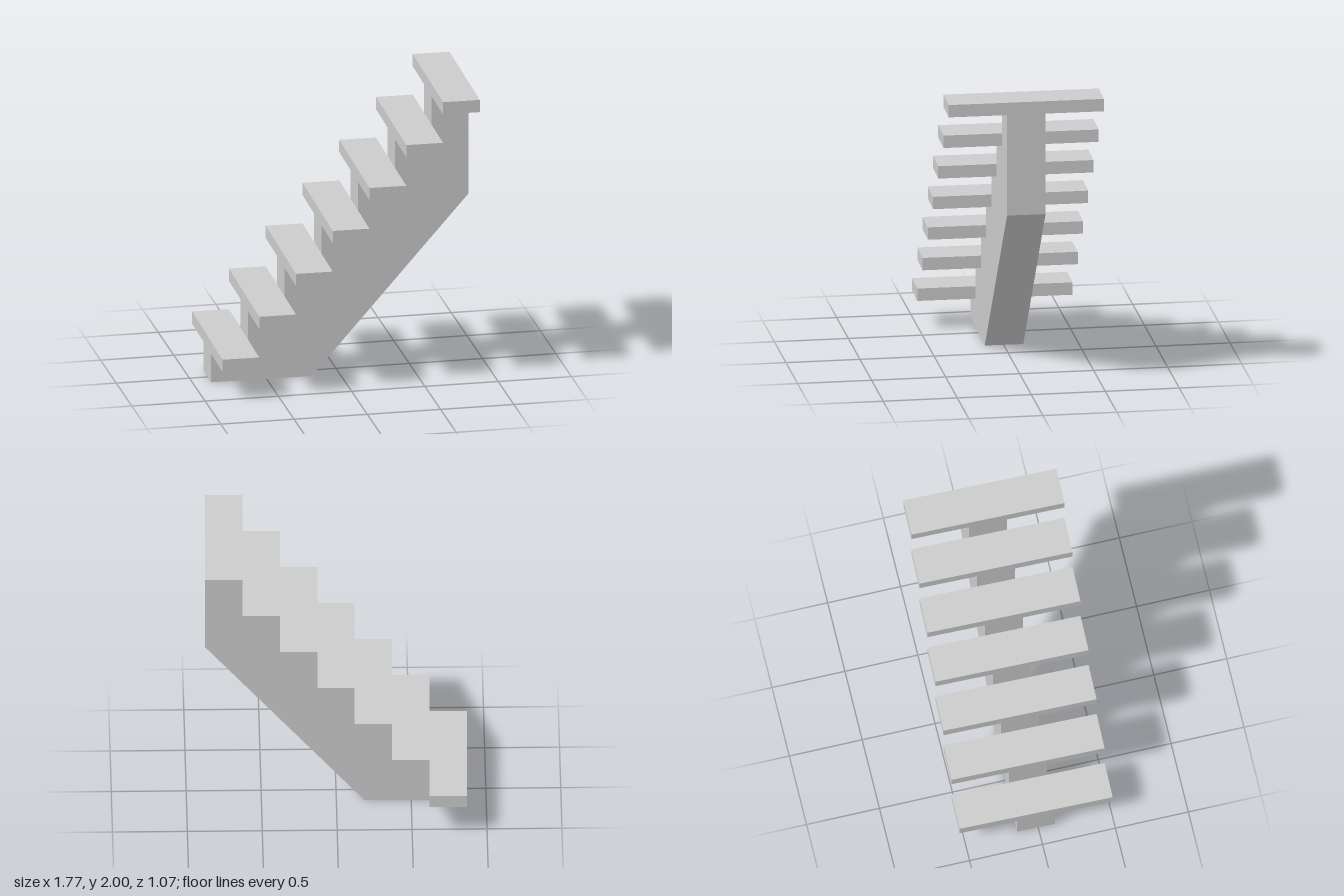
import * as THREE from 'three';

const STEPS = 7;
const RUN = 0.25;            // depth of one tread
const RISE = 2 / STEPS;      // height of one step
const THICK = 0.086;         // tread thickness
const TREAD_WIDTH = 1.046;
const BEAM_WIDTH = 0.26;
const X0 = -STEPS * RUN / 2; // foot of the stair

export function createModel() {
  const model = new THREE.Group();
  model.name = 'staircase';
  const material = new THREE.MeshStandardMaterial({ color: 0xcccccc, flatShading: true });

  // Central sawtooth beam carrying the treads
  const outline = new THREE.Shape();
  outline.moveTo(X0, 0);
  outline.lineTo(-0.19, 0);
  outline.lineTo(-X0, 1.215);
  for (let i = STEPS - 1; i >= 0; i--) {
    const y = (i + 1) * RISE - THICK;
    outline.lineTo(X0 + (i + 1) * RUN, y);
    outline.lineTo(X0 + i * RUN, y);
  }
  const beamGeometry = new THREE.ExtrudeGeometry(outline, { depth: BEAM_WIDTH, bevelEnabled: false });
  beamGeometry.translate(0, 0, -BEAM_WIDTH / 2);
  const beam = new THREE.Mesh(beamGeometry, material);
  beam.name = 'centralBeam';
  model.add(beam);

  // Treads, cantilevered equally to both sides
  const treadGeometry = new THREE.BoxGeometry(RUN, THICK, TREAD_WIDTH);
  for (let i = 0; i < STEPS; i++) {
    const tread = new THREE.Mesh(treadGeometry, material);
    tread.name = `tread${i + 1}`;
    tread.position.set(X0 + (i + 0.5) * RUN, (i + 1) * RISE - THICK / 2, 0);
    model.add(tread);
  }

  // The whole stair is turned very slightly
  model.rotation.y = -0.016;
  return model;
}
